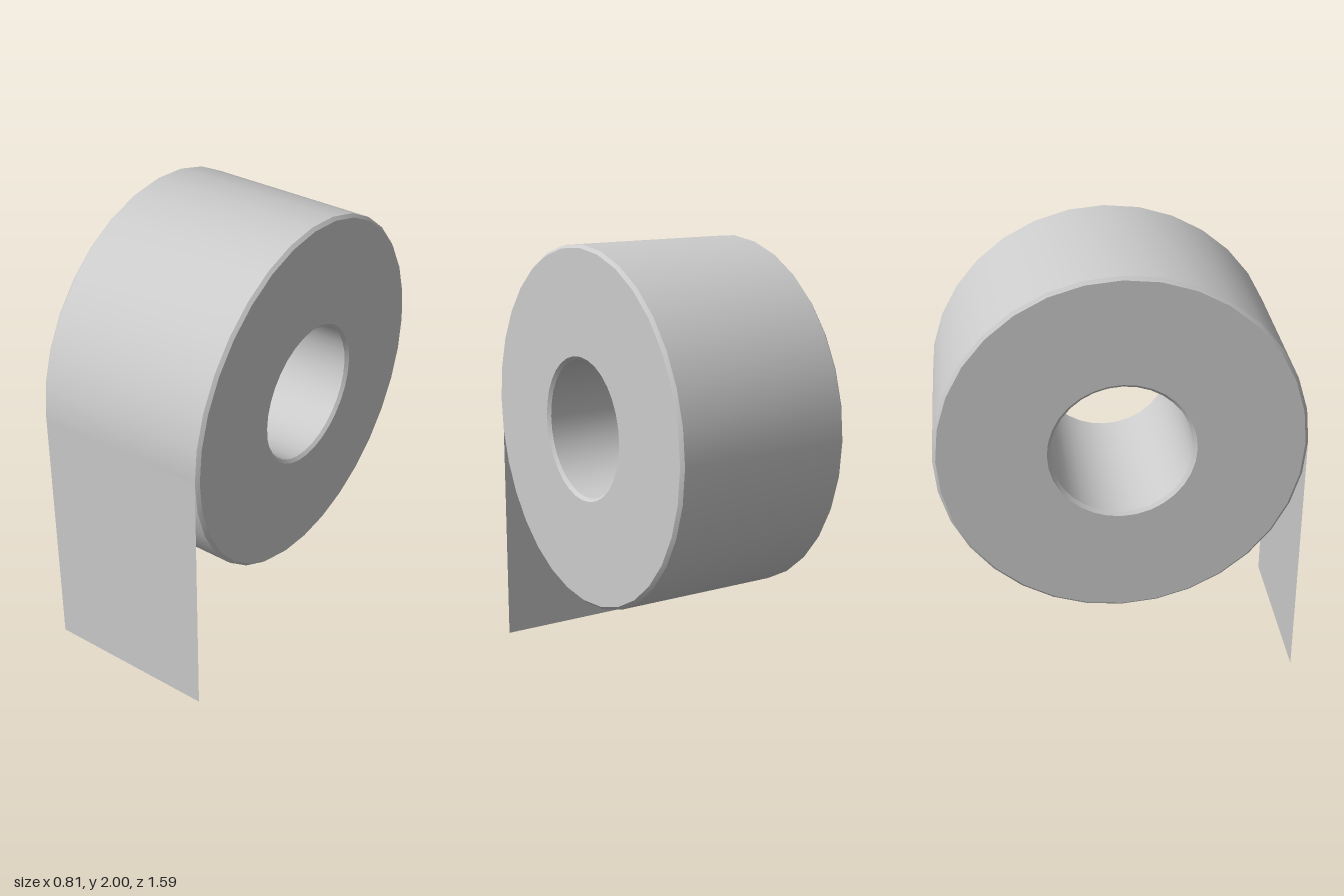
import * as THREE from 'three';
import { toCreasedNormals } from 'three/addons/utils/BufferGeometryUtils.js';

const OUTER = 0.797, INNER = 0.305, HALF = 0.405, BEVEL = 0.014;
const CENTER_Y = 2 - OUTER;

export function createModel() {
  const group = new THREE.Group();
  group.name = 'paperRoll';
  const material = new THREE.MeshStandardMaterial({ color: 0xcccccc });

  // Wound roll: a bevelled ring section turned around the x axis
  const profile = [
    [OUTER - BEVEL, -HALF],
    [OUTER, -HALF + BEVEL],
    [OUTER, HALF - BEVEL],
    [OUTER - BEVEL, HALF],
    [INNER + BEVEL, HALF],
    [INNER, HALF - BEVEL],
    [INNER, -HALF + BEVEL],
    [INNER + BEVEL, -HALF],
    [OUTER - BEVEL, -HALF],
  ].map(([r, y]) => new THREE.Vector2(r, y));
  const rollGeometry = toCreasedNormals(new THREE.LatheGeometry(profile, 32), 0.6);
  rollGeometry.rotateZ(-Math.PI / 2);
  const roll = new THREE.Mesh(rollGeometry, material);
  roll.name = 'roll';
  roll.position.y = CENTER_Y;
  group.add(roll);

  // Loose sheet hanging straight down from the front of the roll
  const sheetMaterial = material.clone();
  sheetMaterial.side = THREE.DoubleSide;
  const sheet = new THREE.Mesh(
    new THREE.PlaneGeometry(2 * (HALF - BEVEL), CENTER_Y), sheetMaterial);
  sheet.name = 'hangingSheet';
  sheet.position.set(0, CENTER_Y / 2, OUTER);
  group.add(sheet);

  return group;
}
